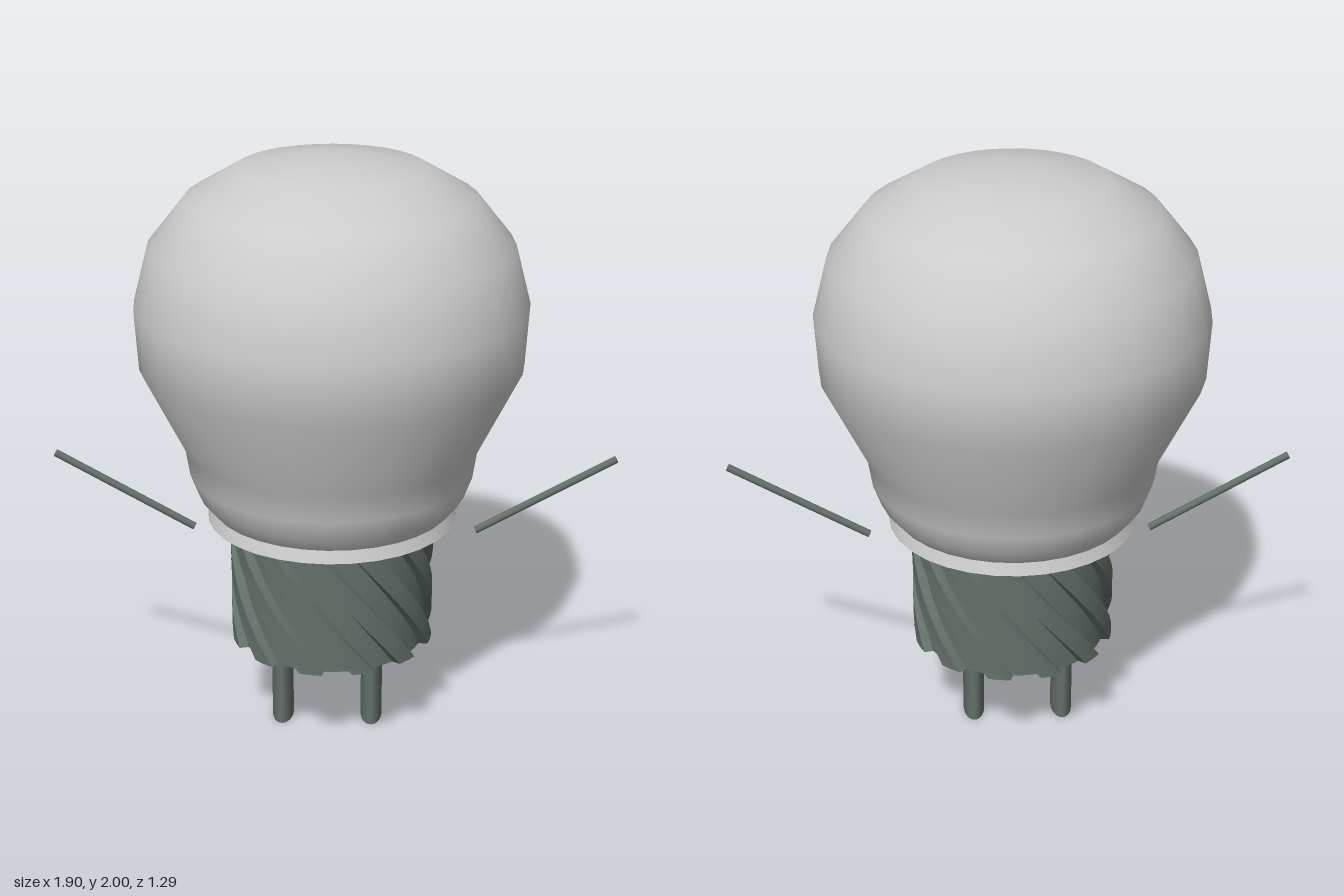
import * as THREE from 'three';
import { toCreasedNormals } from 'three/addons/utils/BufferGeometryUtils.js';

const glass = new THREE.MeshStandardMaterial({ color: 0xcccccc, side: THREE.DoubleSide });
const metal = new THREE.MeshStandardMaterial({ color: 0x64706a });
const CX = -0.01; // axis of the bulb

function add(parent, name, geometry, material, x = 0, y = 0, z = 0) {
  const mesh = new THREE.Mesh(geometry, material);
  mesh.name = name;
  mesh.position.set(x, y, z);
  parent.add(mesh);
  return mesh;
}

const lathe = (points) =>
  new THREE.LatheGeometry(points.map(([r, y]) => new THREE.Vector2(r, y)), 32);

// Toothed disc extruded upwards and twisted into a helical thread
function threadGeometry(teeth, inner, outer, height, twist) {
  const shape = new THREE.Shape();
  const step = (Math.PI * 2) / teeth;
  // each tooth: fraction of the pitch, radius
  const tooth = [[0, inner], [0.25, inner], [0.5, inner], [0.54, outer], [0.75, outer], [0.96, outer]];
  for (let i = 0; i < teeth; i++) {
    tooth.forEach(([f, r], k) => {
      const a = (i + f) * step;
      const p = [r * Math.cos(a), r * Math.sin(a)];
      if (i + k === 0) shape.moveTo(...p);
      else shape.lineTo(...p);
    });
  }
  shape.closePath();
  const geo = new THREE.ExtrudeGeometry(shape, { depth: height, steps: 12, bevelEnabled: false });
  geo.rotateX(-Math.PI / 2);
  const pos = geo.attributes.position;
  const v = new THREE.Vector3();
  const up = new THREE.Vector3(0, 1, 0);
  for (let i = 0; i < pos.count; i++) {
    v.fromBufferAttribute(pos, i);
    v.applyAxisAngle(up, twist * (1 - v.y / height));
    pos.setXYZ(i, v.x, v.y, v.z);
  }
  return toCreasedNormals(geo, 0.6);
}

export function createModel() {
  const model = new THREE.Group();
  model.name = 'lightBulb';

  // Glass envelope
  add(model, 'bulb', lathe([
    [0.405, 0.81], [0.45, 0.865], [0.478, 0.94], [0.492, 1.03], [0.635, 1.32], [0.647, 1.52],
    [0.595, 1.72], [0.475, 1.87], [0.305, 1.97], [0.11, 2], [0, 2],
  ]), glass, CX);

  // Collar under the glass, with a shallow conical underside
  add(model, 'collar', toCreasedNormals(lathe([
    [0, 0.735], [0.33, 0.735], [0.42, 0.77], [0.405, 0.815], [0.39, 0.815],
  ]), 0.5), glass, CX);

  // Threaded base
  add(model, 'threadedBase', threadGeometry(12, 0.315, 0.345, 0.412, 1), metal, CX, 0.325);

  // Oval contact pins and loose wires on both sides
  for (const side of [-1, 1]) {
    const pin = new THREE.CylinderGeometry(1, 1, 0.34, 24);
    pin.scale(0.037, 1, 0.088);
    add(model, side > 0 ? 'leftPin' : 'rightPin', pin, metal, -0.027 + side * 0.155, 0.17, 0);

    const wire = new THREE.CylinderGeometry(0.0125, 0.0125, 0.535, 12);
    const mesh = add(model, side > 0 ? 'leftWire' : 'rightWire', wire, metal, side * 0.711, 0.843, 0);
    mesh.rotation.z = -side * Math.atan2(0.465, 0.265);
  }
  return model;
}
